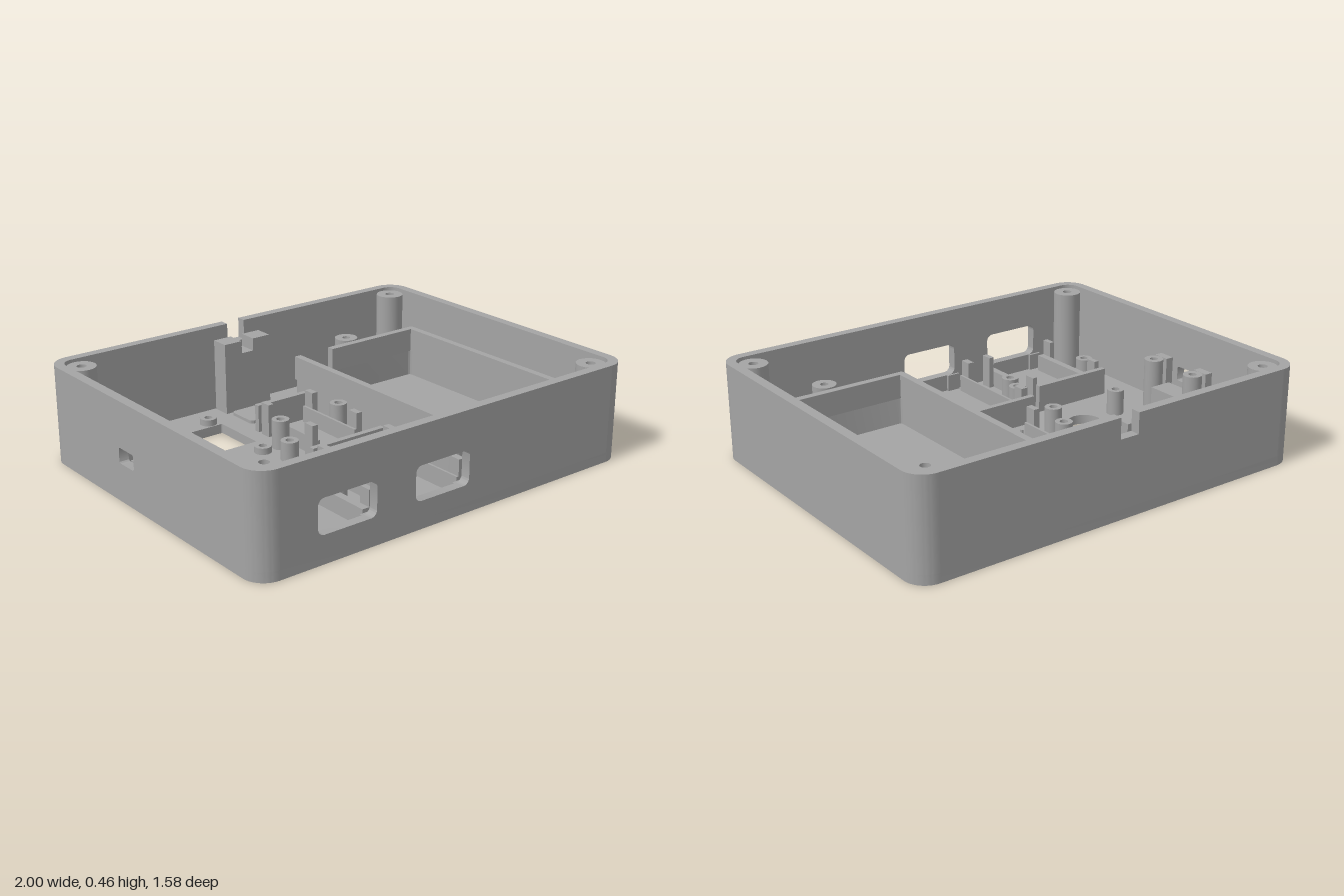
import * as THREE from 'three';
import { toCreasedNormals } from 'three/addons/utils/BufferGeometryUtils.js';

const plastic = new THREE.MeshStandardMaterial({ color: 0xa4a4a4 });
plastic.name = 'grey plastic';

const W = 1, D = 0.79, H = 0.455, WALL = 0.045, FLOOR = 0.045, R = 0.1;

// Rounded rectangle, works for outlines and holes
function roundRect(x0, y0, x1, y1, r, Type = THREE.Shape) {
  const s = new Type();
  s.absarc(x1 - r, y0 + r, r, -Math.PI / 2, 0, false);
  s.absarc(x1 - r, y1 - r, r, 0, Math.PI / 2, false);
  s.absarc(x0 + r, y1 - r, r, Math.PI / 2, Math.PI, false);
  s.absarc(x0 + r, y0 + r, r, Math.PI, Math.PI * 1.5, false);
  s.closePath();
  return s;
}

const circle = (x, y, r, Type = THREE.Path) => new Type().absarc(x, y, r, 0, Math.PI * 2, false);

function polygon(points) {
  return new THREE.Shape(points.map(([x, y]) => new THREE.Vector2(x, y)));
}

const extrude = (shape, depth) => toCreasedNormals(
  new THREE.ExtrudeGeometry(shape, { depth, bevelEnabled: false, curveSegments: 10 }), 0.6);

export function createModel() {
  const model = new THREE.Group();
  model.name = 'enclosure';

  function add(name, geometry) {
    const mesh = new THREE.Mesh(geometry, plastic);
    mesh.name = name;
    model.add(mesh);
    return mesh;
  }
  // Plan shape (x, -z) raised from y0 to y1
  const raise = (name, shape, y0, y1) =>
    add(name, extrude(shape, y1 - y0).rotateX(-Math.PI / 2).translate(0, y0, 0));
  const box = (name, x0, x1, z0, z1, y1, y0 = FLOOR) =>
    add(name, new THREE.BoxGeometry(x1 - x0, y1 - y0, z1 - z0)
      .translate((x0 + x1) / 2, (y0 + y1) / 2, (z0 + z1) / 2));
  // Hollow screw post
  function post(name, x, z, r, hole, top) {
    const s = circle(x, -z, r, THREE.Shape);
    s.holes.push(circle(x, -z, hole));
    raise(name, s, FLOOR, top);
  }

  // Floor with display window and round button hole
  const floor = roundRect(-W, -D, W, D, R);
  floor.holes.push(roundRect(-0.715, 0.285, -0.24, 0.56, 0.006, THREE.Path), circle(-0.475, -0.03, 0.08));
  raise('floor', floor, 0, FLOOR);

  // Rounded wall corners
  for (const [sx, sz, a] of [[1, 1, 0], [-1, 1, 1], [-1, -1, 2], [1, -1, 3]]) {
    const cx = sx * (W - R), cy = sz * (D - R), start = a * Math.PI / 2;
    const s = new THREE.Shape();
    s.absarc(cx, cy, R, start, start + Math.PI / 2, false);
    s.absarc(cx, cy, R - WALL, start + Math.PI / 2, start, true);
    s.closePath();
    raise('wallCorner', s, FLOOR, H);
  }

  // Front wall with two rounded openings
  const front = polygon([[-W + R, FLOOR], [W - R, FLOOR], [W - R, H], [-W + R, H]]);
  for (const x of [-0.72, -0.23]) front.holes.push(roundRect(x, 0.125, x + 0.29, 0.28, 0.03, THREE.Path));
  add('frontWall', extrude(front, WALL).translate(0, 0, D - WALL));

  // Back wall with a cable notch in the rim
  const back = polygon([[-W + R, FLOOR], [W - R, FLOOR], [W - R, H], [0.025, H],
    [0.025, 0.36], [-0.07, 0.36], [-0.07, H], [-W + R, H]]);
  add('backWall', extrude(back, WALL).translate(0, 0, -D));

  // Side walls, the right one with a small port
  const e = D - R;
  box('leftWall', W - WALL, W, -e, e, H);
  const side = polygon([[-e, FLOOR], [e, FLOOR], [e, H], [-e, H]]);
  side.holes.push(roundRect(0.075, 0.175, 0.19, 0.245, 0.012, THREE.Path));
  add('rightWall', extrude(side, WALL).rotateY(Math.PI / 2).translate(-W, 0, 0));

  // Lid posts in the corners
  for (const x of [-0.885, 0.885])
    for (const z of [-0.68, 0.68]) post('cornerPost', x, z, 0.066, 0.022, 0.44);

  // Board standoffs: x, z, radius, height
  const standoffs = [
    [-0.66, -0.605, 0.04, 0.075], [-0.285, -0.605, 0.04, 0.075],
    [-0.66, -0.17, 0.04, 0.075], [-0.285, -0.17, 0.04, 0.075],
    [-0.66, 0.03, 0.04, 0.165], [-0.285, 0.03, 0.04, 0.165],
    [-0.19, -0.165, 0.04, 0.18], [0.14, -0.165, 0.04, 0.18],
    [-0.305, 0.33, 0.04, 0.17], [0.14, 0.33, 0.04, 0.17],
    [-0.805, 0.44, 0.04, 0.17], [-0.345, 0.44, 0.04, 0.17],
    [0.565, -0.635, 0.056, 0.285], [0.565, 0.63, 0.056, 0.285],
    [-0.87, -0.265, 0.045, 0.28], [-0.87, 0, 0.045, 0.28],
  ];
  for (const [x, z, r, top] of standoffs) post('standoff', x, z, r, 0.019, top);

  // Port holder beside the right wall
  box('portShelf', -0.93, -0.82, -0.215, -0.045, 0.16);
  for (const z of [-0.265, 0]) box('portBracket', -0.955, -0.915, z - 0.04, z + 0.04, 0.28);

  // Battery tray, its upper rim open for the wires
  const tray = roundRect(0.19, -0.56, 0.94, 0.57, 0.035);
  tray.holes.push(roundRect(0.225, -0.525, 0.905, 0.535, 0.015, THREE.Path));
  raise('batteryTray', tray, FLOOR, 0.17);
  raise('batteryTrayRim', polygon([[0.4, 0.57], [0.4, 0.535], [0.905, 0.535], [0.905, -0.525],
    [0.225, -0.525], [0.225, 0.56], [0.19, 0.56], [0.19, -0.55], [0.2, -0.56], [0.93, -0.56],
    [0.94, -0.55], [0.94, 0.56], [0.93, 0.57]]), 0.17, 0.285);

  // Circuit board cradles: end stop, two rails and four corner clips
  function cradle(x0, x1, stopZ, z0, z1, clip, rail) {
    box('endStop', x0, x1, stopZ, stopZ + 0.027, 0.175);
    for (const [outer, dir] of [[x0, 1], [x1, -1]]) {
      const a = outer + dir * clip, b = a + dir * rail;
      box('rail', Math.min(a, b), Math.max(a, b), z0, z1, 0.125);
      for (const z of [z0, z1 - 0.055])
        box('clip', Math.min(outer, a), Math.max(outer, a), z, z + 0.055, 0.2);
    }
  }
  cradle(-0.165, 0.115, -0.395, -0.345, 0.035, 0.03, 0.013);
  cradle(-0.28, 0.115, 0.165, 0.22, 0.705, 0.033, 0.011);
  cradle(-0.78, -0.375, 0.25, 0.3, 0.705, 0.025, 0.034);
  for (const x of [-0.755, -0.47, -0.25, 0.02]) box('frontTab', x, x + 0.065, 0.733, 0.746, 0.125);
  for (const x of [-0.135, 0.085])
    add('locatingPin', new THREE.CylinderGeometry(0.008, 0.008, 0.03, 10).translate(x, FLOOR + 0.015, 0.07));

  // Cable clamp block with a channel, and the pad in front of it
  const clamp = polygon([[-0.15, FLOOR], [0.105, FLOOR], [0.105, 0.39], [0.01, 0.39],
    [0.01, 0.33], [-0.055, 0.33], [-0.055, 0.39], [-0.15, 0.39]]);
  add('cableClamp', extrude(clamp, 0.09).translate(0, 0, -0.74));
  raise('clampPad', roundRect(-0.135, 0.47, 0.09, 0.63, 0.02), FLOOR, 0.06);

  return model;
}
